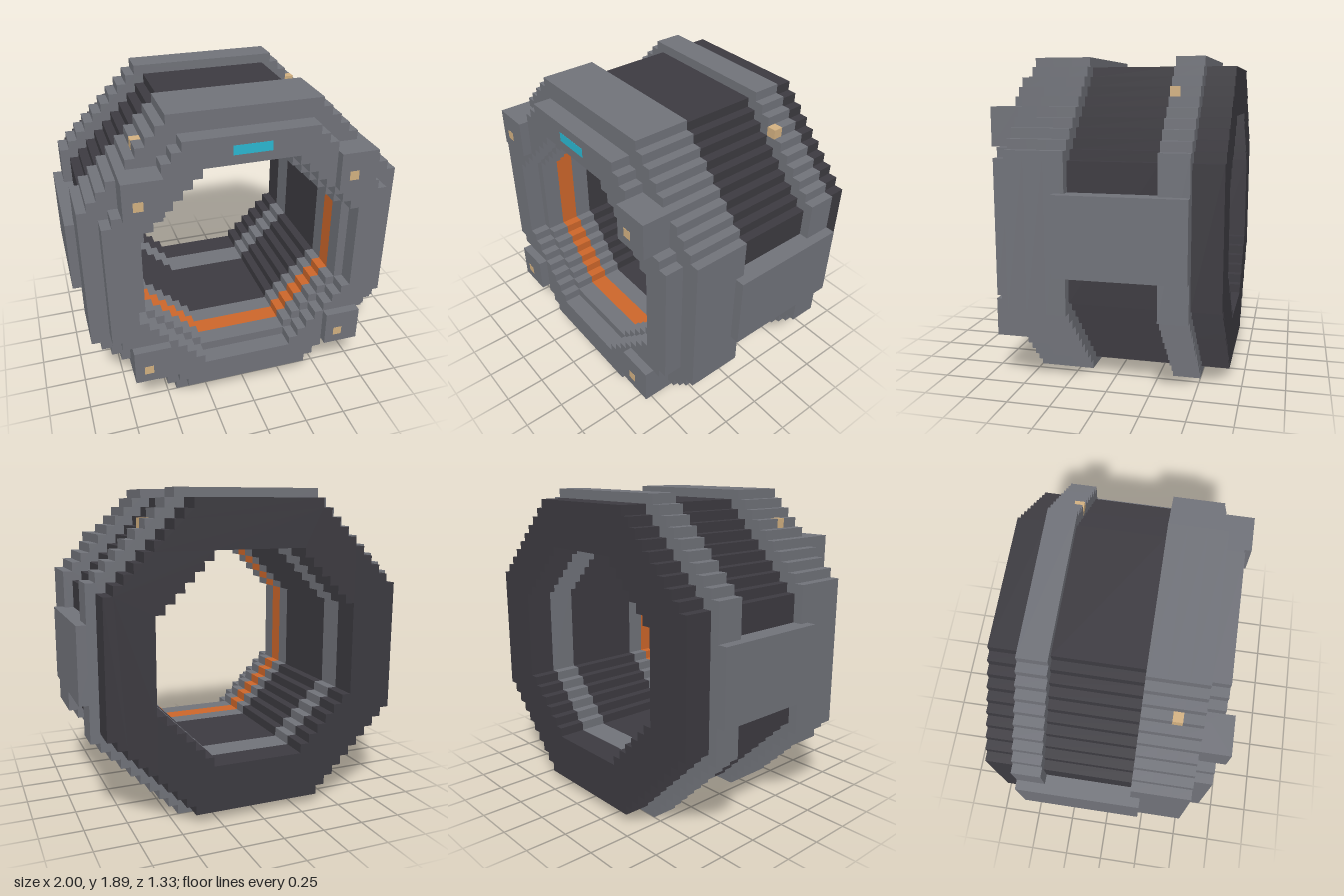
import * as THREE from 'three';

const U = 1 / 18;   // one block
const CY = 17;      // height of the ring axis, in blocks

// Octagon with stepped corners, counter-clockwise: radius and half-length of its flats, in blocks
function steppedOctagon(radius, flat) {
  const quarter = [];
  for (let i = 0; i <= radius - flat; i++) {
    quarter.push([flat + i, radius - i]);
    if (i < radius - flat) quarter.push([flat + i, radius - i - 1]);
  }
  const points = [];
  for (let q = 0; q < 4; q++) {
    for (const [x, y] of quarter) {
      const [a, b] = [[x, y], [y, -x], [-x, -y], [-y, x]][q];
      points.push(new THREE.Vector2(a * U, (b + CY) * U));
    }
  }
  return points.reverse();
}

export function createModel() {
  const model = new THREE.Group();
  const material = (name, color) => {
    const m = new THREE.MeshStandardMaterial({ color });
    m.name = name;
    return m;
  };
  const grey = material('grey metal', 0x707279);
  const dark = material('dark metal', 0x3c3a40);
  const orange = material('orange', 0xcc662a);
  const cyan = material('cyan light', 0x2ab6d0);
  const tan = material('tan', 0xd2b080);

  const add = (name, geometry, mat) => {
    const mesh = new THREE.Mesh(geometry, mat);
    mesh.name = name;
    model.add(mesh);
  };

  // Hollow ring between z0 and z1; outer and inner are [radius, flat]
  const ring = (name, outer, inner, z0, z1, mat) => {
    const shape = new THREE.Shape(steppedOctagon(...outer));
    shape.holes.push(new THREE.Path(steppedOctagon(...inner).reverse()));
    const geometry = new THREE.ExtrudeGeometry(shape, { depth: (z1 - z0) * U, bevelEnabled: false });
    add(name, geometry.translate(0, 0, z0 * U), mat);
  };

  // Box given by its two corners, in blocks
  const box = (name, [x0, y0, z0], [x1, y1, z1], mat) => {
    const geometry = new THREE.BoxGeometry((x1 - x0) * U, (y1 - y0) * U, (z1 - z0) * U);
    geometry.translate((x0 + x1) / 2 * U, (y0 + y1) / 2 * U, (z0 + z1) / 2 * U);
    add(name, geometry, mat);
  };

  const bore = [11, 5], body = [16, 7], collar = [17, 8], liner = [12, 6];

  // Dark body and grey collars, from back to front
  ring('rearBody', body, bore, -12, -9, dark);
  ring('rearCollar', collar, bore, -9, -6, grey);
  ring('middleBody', body, bore, -6, 3, dark);
  ring('frontCollarBack', collar, bore, 3, 5, grey);
  ring('frontCollarMiddle', collar, liner, 5, 7, grey);
  ring('innerBand', liner, bore, 5, 7, orange);
  ring('frontCollarFront', collar, bore, 7, 9, grey);
  ring('frontLip', [15, 7], [12, 5], 9, 11, grey);

  // Side panels
  box('leftPanel', [15.5, 13, -9], [18, 21, 4], grey);
  box('rightPanel', [-18, 13, -9], [-15.5, 21, 4], grey);

  // Corner blocks with their markers
  const e = 0.02;
  for (const x of [-13, 9]) {
    for (const y of [5, 25]) {
      box('cornerBlock', [x, y, 9], [x + 4, y + 4, 12], grey);
      box('cornerMarker', [x + 1, y + 1, 11.95], [x + 2, y + 2, 12 + e], tan);
    }
  }

  // Status light and collar markers
  box('statusLight', [-2, 30, 10.95], [2, 31, 11 + e], cyan);
  box('rearCollarMarker', [10, 30, -7], [11 + e, 31 + e, -6 + e], tan);
  box('frontCollarMarker', [-11 - e, 30, 6], [-10, 31 + e, 7], tan);

  return model;
}
